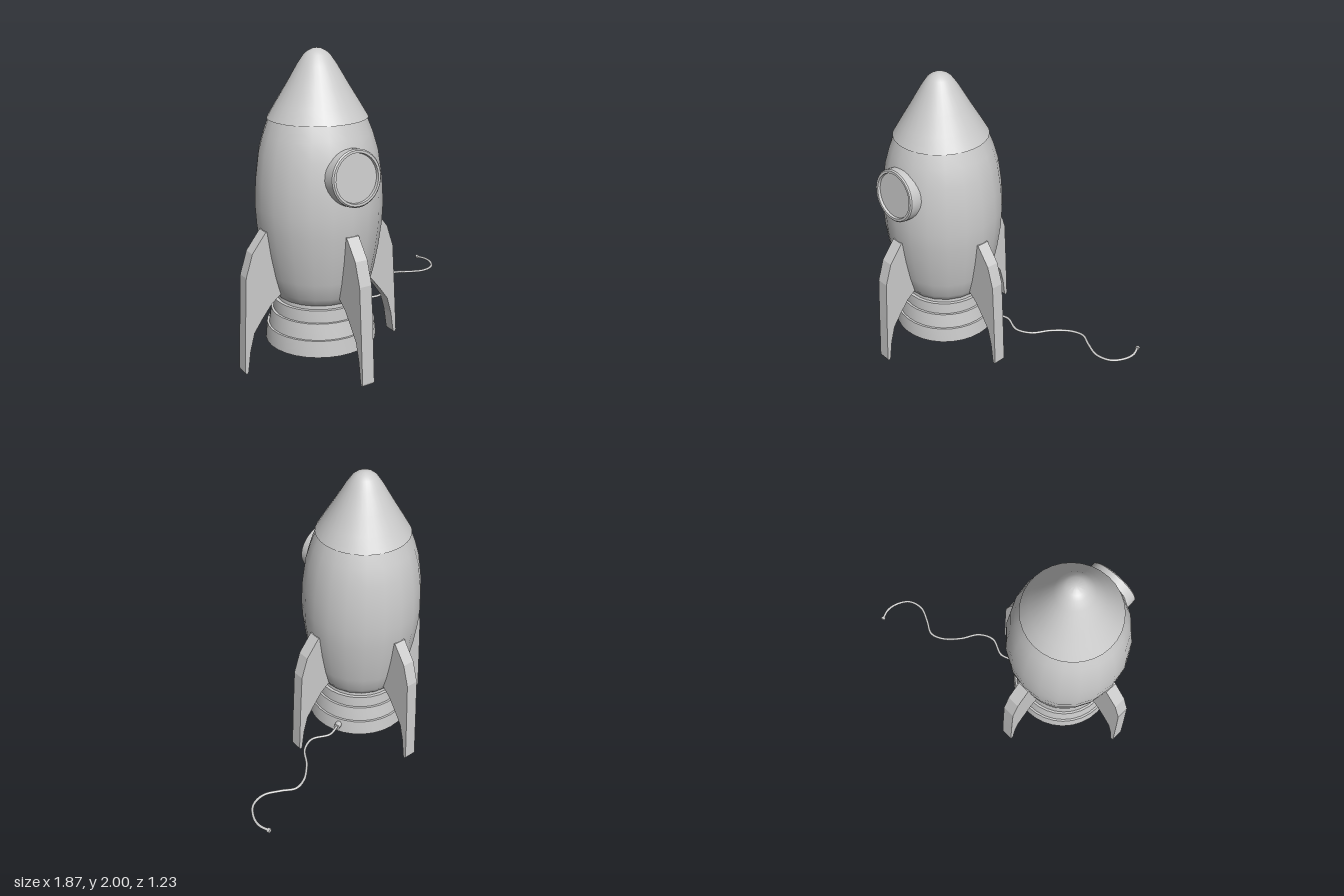
import * as THREE from 'three';
import { toCreasedNormals } from 'three/addons/utils/BufferGeometryUtils.js';

const material = new THREE.MeshStandardMaterial({ color: 0xcccccc, side: THREE.DoubleSide });

function addMesh(parent, name, geometry) {
  const mesh = new THREE.Mesh(geometry, material);
  mesh.name = name;
  parent.add(mesh);
  return mesh;
}

// Revolved profile of [radius, height] pairs, listed bottom to top
function lathe(profile, segments, crease = 0.6) {
  const points = profile.map(([r, y]) => new THREE.Vector2(r, y));
  return toCreasedNormals(new THREE.LatheGeometry(points, segments), crease);
}

// Swept-back leg fin, drawn as [distance from axis, height]
function finGeometry() {
  const thickness = 0.085;
  const outline = [
    [0.37, 0.92], [0.40, 0.913], [0.495, 0.79], [0.542, 0.643], [0.558, 0.36], [0.575, 0.015],
    [0.57, 0.002], [0.557, 0.002], [0.551, 0.015], [0.532, 0.15], [0.50, 0.267], [0.44, 0.352],
    [0.373, 0.437], [0.31, 0.485], [0.29, 0.5],
  ];
  const shape = new THREE.Shape(outline.map(([x, y]) => new THREE.Vector2(x, y)));
  const geometry = new THREE.ExtrudeGeometry(shape, { depth: thickness, bevelEnabled: false });
  return geometry.translate(0, 0, -thickness / 2);
}

export function createModel() {
  const model = new THREE.Group();
  model.name = 'toyRocket';
  const rocket = new THREE.Group();
  rocket.name = 'rocket';
  rocket.position.set(-0.36, 0, 0.035);
  model.add(rocket);

  // Hull and nose cone
  addMesh(rocket, 'hull', lathe([
    [0, 0.44], [0.285, 0.44], [0.318, 0.49], [0.347, 0.6], [0.376, 0.75], [0.398, 0.91],
    [0.405, 1.04], [0.397, 1.2], [0.372, 1.38], [0.34, 1.49], [0.305, 1.58],
  ], 20, 1));
  addMesh(rocket, 'noseCone', lathe([
    [0.29, 1.58], [0.313, 1.58], [0.26, 1.67], [0.19, 1.785], [0.12, 1.905], [0.08, 1.962],
    [0.055, 1.982], [0.028, 1.995], [0, 2],
  ], 32, 1));

  // Stepped, hollow exhaust skirt
  addMesh(rocket, 'exhaustSkirt', lathe([
    [0.362, 0.125], [0.352, 0.232], [0.338, 0.232], [0.322, 0.335], [0.307, 0.335],
    [0.303, 0.415], [0.282, 0.415], [0.28, 0.44],
  ], 32));

  // Four leg fins
  const fin = finGeometry();
  for (let i = 0; i < 4; i++) {
    addMesh(rocket, 'fin' + (i + 1), fin).rotation.y = i * Math.PI / 2;
  }

  // Round porthole: rim with a slightly recessed pane, tilted along the hull
  const porthole = addMesh(rocket, 'porthole', lathe([
    [0.175, -0.13], [0.175, -0.008], [0.167, 0], [0.152, 0], [0.149, -0.018], [0, -0.018],
  ], 32));
  porthole.position.set(0.02, 1.28, 0.425);
  porthole.rotation.set(Math.PI / 2 - 0.11, 0, -0.05);

  // Fuse cord trailing from the skirt, with a grommet and an end plug
  const cord = new THREE.CatmullRomCurve3([
    [-0.05, -0.125], [0, -0.15], [0.075, -0.175], [0.2, -0.135], [0.3, -0.185], [0.375, -0.305],
    [0.475, -0.405], [0.56, -0.433], [0.65, -0.39], [0.76, -0.35], [0.86, -0.38],
    [0.915, -0.465], [0.925, -0.54], [0.9, -0.61],
  ].map(([x, z]) => new THREE.Vector3(x, 0.19, z)));
  addMesh(model, 'cord', new THREE.TubeGeometry(cord, 90, 0.009, 8));

  const addFitting = (name, radius, length, t) => {
    const fitting = addMesh(model, name,
      toCreasedNormals(new THREE.CylinderGeometry(radius, radius, length, 12), 0.6));
    fitting.position.copy(cord.getPointAt(t));
    fitting.quaternion.setFromUnitVectors(new THREE.Vector3(0, 1, 0), cord.getTangentAt(t));
  };
  addFitting('cordGrommet', 0.022, 0.05, 0.015);
  addFitting('cordEndPlug', 0.015, 0.018, 1);

  return model;
}
